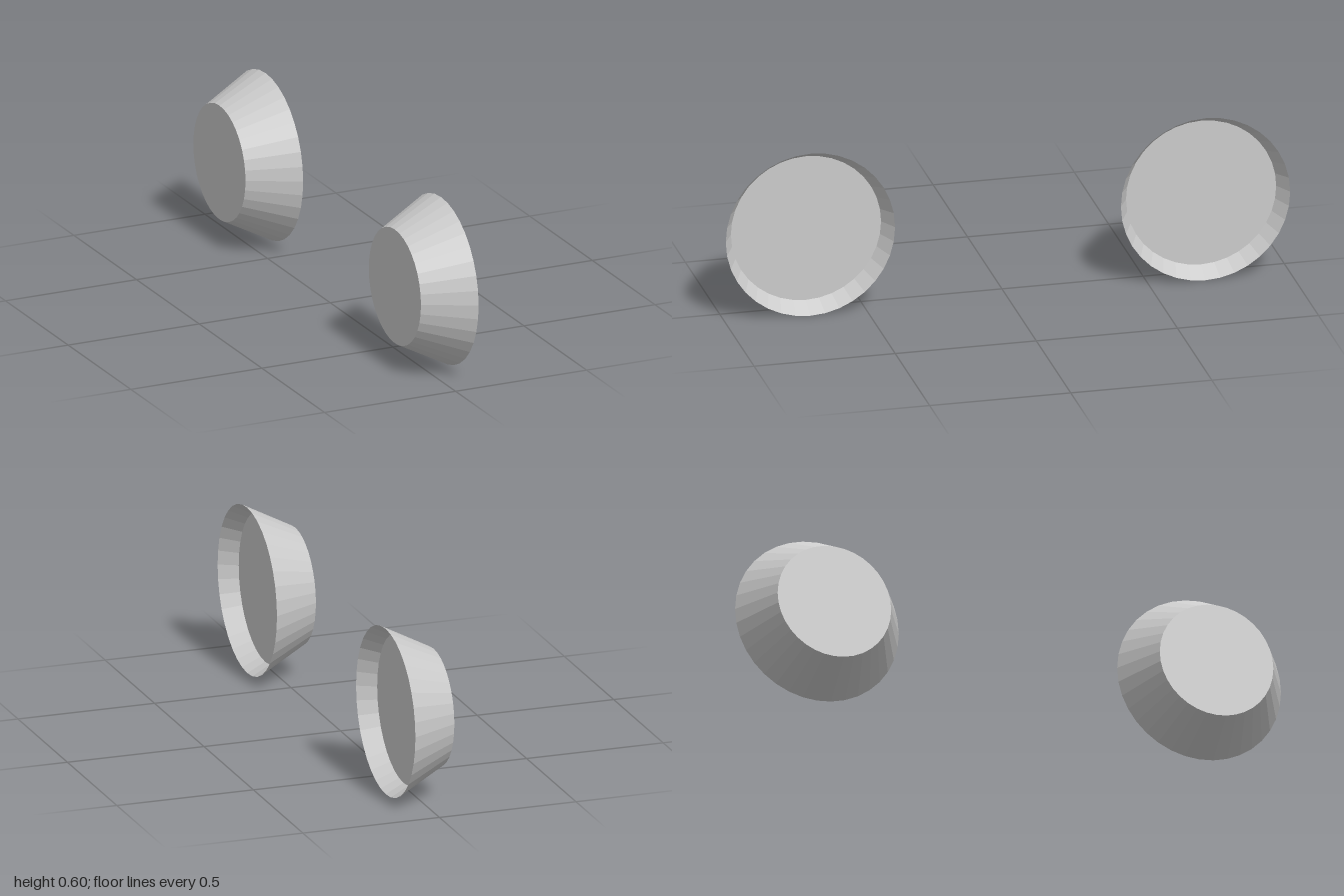
import * as THREE from 'three';

const SIDES = 36;
const HALF_WIDTH = 0.088;
const material = new THREE.MeshStandardMaterial({
  color: 0xcccccc, flatShading: true, side: THREE.DoubleSide,
});

// Flat disc across the wheel axis, facing +x (dir = 1) or -x (dir = -1)
function disc(name, radius, x, dir) {
  const mesh = new THREE.Mesh(new THREE.CircleGeometry(radius, SIDES), material);
  mesh.name = name;
  mesh.rotation.y = dir * Math.PI / 2;
  mesh.position.x = x;
  return mesh;
}

// Tapered cup: wide open rim at +x, closed narrow end at -x, recessed face inside
function wheel(name, z) {
  const group = new THREE.Group();
  group.name = name;
  const wall = new THREE.Mesh(
    new THREE.CylinderGeometry(0.3, 0.208, 2 * HALF_WIDTH, SIDES, 1, true), material);
  wall.name = 'taperedWall';
  wall.rotation.z = -Math.PI / 2;
  group.add(
    wall,
    disc('narrowEnd', 0.208, -HALF_WIDTH, -1),
    disc('recessedFace', 0.266, 0.023, 1),
  );
  group.position.set(0, 0.3, z);
  return group;
}

export function createModel() {
  const model = new THREE.Group();
  model.name = 'wheelPair';
  model.add(wheel('frontWheel', 0.7), wheel('rearWheel', -0.7));
  return model;
}
